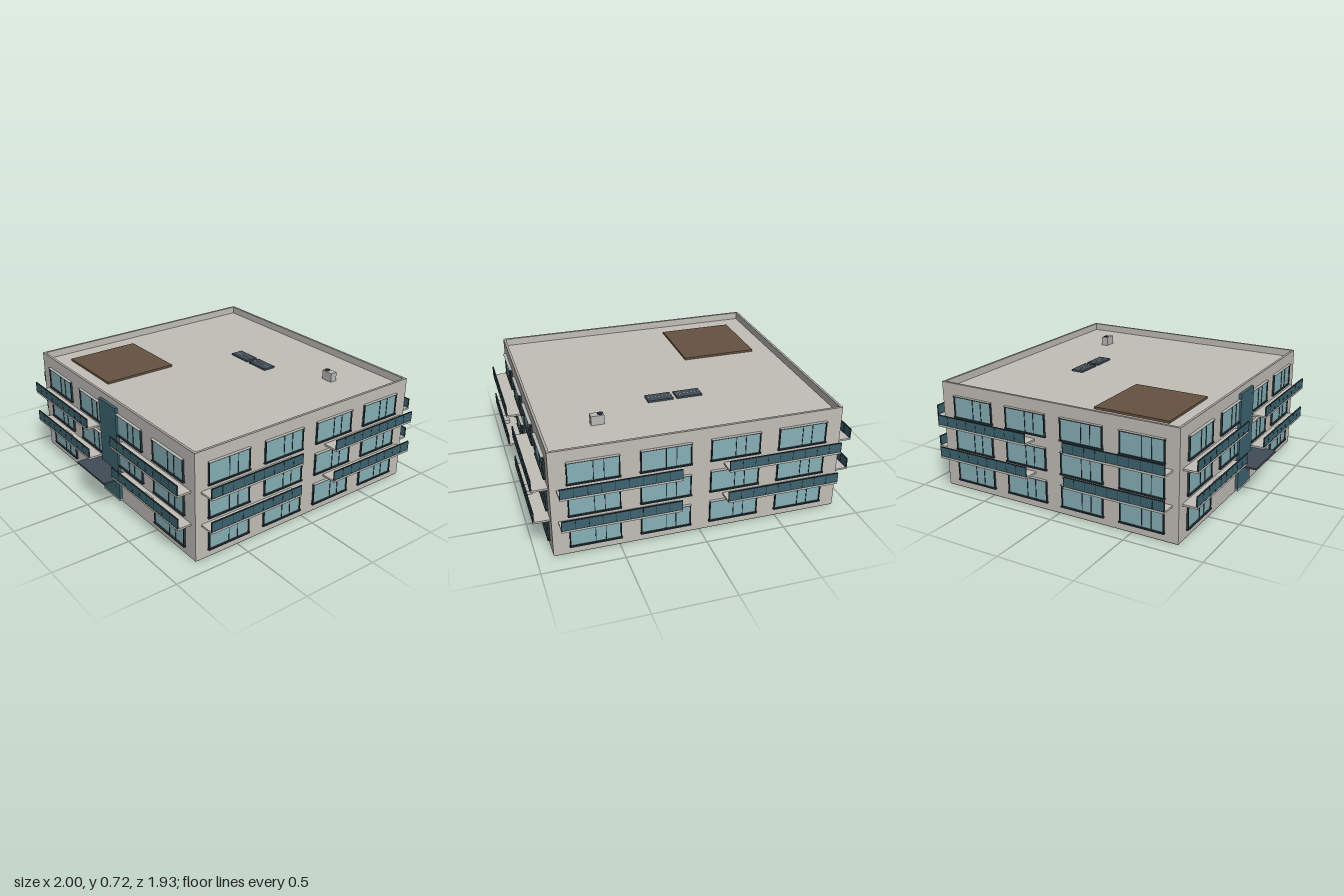
import * as THREE from 'three';

const mat = (name, color) => {
  const m = new THREE.MeshStandardMaterial({ color });
  m.name = name;
  return m;
};

export function createModel() {
  const wall = mat('wall plaster', 0xc2bfb8);
  const coping = mat('coping grey', 0xa9a7a1);
  const glass = mat('window glass', 0x86b0b7);
  const teal = mat('teal glass', 0x3d6470);
  const dark = mat('dark frame', 0x27343b);
  const slate = mat('slate', 0x414c57);
  const wood = mat('wood decking', 0x655240);
  const base = mat('foundation', 0x7a807e);
  const metal = mat('light metal', 0xb9b9b6);

  const model = new THREE.Group();
  model.name = 'apartmentBlock';

  // Box given by its limits on each axis
  function box(parent, name, material, x0, x1, y0, y1, z0, z1) {
    const mesh = new THREE.Mesh(new THREE.BoxGeometry(x1 - x0, y1 - y0, z1 - z0), material);
    mesh.position.set((x0 + x1) / 2, (y0 + y1) / 2, (z0 + z1) / 2);
    mesh.name = name;
    parent.add(mesh);
    return mesh;
  }

  const X = 0.9, ZF = 0.8, ZB = -0.865, ROOF = 0.652, TOP = 0.7, T = 0.016;

  // Main block and foundation
  box(model, 'foundation', base, -X + 0.002, X - 0.002, 0, 0.006, ZB + 0.002, ZF - 0.002);
  box(model, 'mainBlock', wall, -X, X, 0.006, ROOF, ZB, ZF);

  // Parapet with a thin coping
  const ring = [
    [-X, X, ZF - T, ZF], [-X, X, ZB, ZB + T],
    [-X, -X + T, ZB + T, ZF - T], [X - T, X, ZB + T, ZF - T],
  ];
  for (const [x0, x1, z0, z1] of ring) {
    box(model, 'parapet', wall, x0, x1, ROOF, TOP - 0.005, z0, z1);
    box(model, 'coping', coping, x0, x1, TOP - 0.005, TOP, z0, z1);
  }

  // Window in a facade frame: z = 0 is the wall face, +z points outward
  function addWindow(parent, u, y, w) {
    const g = new THREE.Group();
    g.name = 'window';
    g.position.set(u, y, 0);
    parent.add(g);
    const h = 0.142, f = 0.006, d = 0.012, a = w / 2;
    box(g, 'windowGlass', glass, -a + f, a - f, f, h - f, 0, 0.005);
    box(g, 'frameLeft', dark, -a, -a + f, 0, h, 0, d);
    box(g, 'frameRight', dark, a - f, a, 0, h, 0, d);
    box(g, 'frameTop', dark, -a + f, a - f, h - f, h, 0, d);
    box(g, 'sill', dark, -a - 0.004, a + 0.004, -0.003, f, 0, d + 0.003);
    box(g, 'lintel', metal, -a, a, h, h + 0.003, 0, 0.02);
    for (const m of [0, 0.062]) box(g, 'mullion', dark, m - 0.002, m + 0.002, f, h - f, 0, 0.008);
  }

  // Balcony: slab, glazed front, posts and handrail
  function addBalcony(parent, u0, u1, y, depth, unit) {
    const g = new THREE.Group();
    g.name = 'balcony';
    parent.add(g);
    box(g, 'slab', wall, u0, u1, y, y + 0.012, 0, depth);
    box(g, 'balustrade', teal, u0, u1, y + 0.012, y + 0.07, depth - 0.006, depth - 0.001);
    box(g, 'handrail', dark, u0, u1, y + 0.07, y + 0.076, depth - 0.008, depth);
    box(g, 'bottomRail', dark, u0, u1, y + 0.012, y + 0.015, depth - 0.007, depth);
    const n = 9;
    for (let i = 0; i <= n; i++) {
      const p = u0 + 0.0015 + (u1 - u0 - 0.003) * i / n;
      box(g, 'post', dark, p - 0.0015, p + 0.0015, y + 0.012, y + 0.072, depth - 0.008, depth);
    }
    // Small condenser on the lower balconies
    if (unit) {
      const c = (u0 + u1) / 2;
      box(g, 'condenser', metal, c - 0.04, c + 0.04, y + 0.012, y + 0.037, depth - 0.05, depth - 0.015);
    }
  }

  function addFacade(name, pos, turn, windows, width, spans, depth, skipInner, units) {
    const g = new THREE.Group();
    g.name = name;
    g.position.set(...pos);
    g.rotation.y = turn;
    model.add(g);
    [0.052, 0.264, 0.478].forEach((y, floor) => {
      windows.forEach((u, i) => {
        if (floor === 0 && skipInner && (i === 1 || i === 2)) return;
        addWindow(g, u, y, width);
      });
    });
    [0.225, 0.438].forEach((y, i) => {
      for (const [a, b] of spans) addBalcony(g, a, b, y, depth, units && i === 0);
    });
  }

  const mid = [-0.645, -0.215, 0.215, 0.645];
  const midSpans = [[-0.86, -0.143], [0.143, 0.86]];
  const side = [-0.5675, -0.1675, 0.23, 0.6275];
  const sideSpans = [[-0.76, -0.1], [0.165, 0.83]];
  addFacade('frontFacade', [0, 0, ZF], 0, mid, 0.31, midSpans, 0.092, true, true);
  addFacade('backFacade', [0, 0, ZB], Math.PI, mid, 0.31, midSpans, 0.1, false, false);
  addFacade('leftFacade', [X, 0, 0], Math.PI / 2, side, 0.29, sideSpans, 0.1, false, true);
  addFacade('rightFacade', [-X, 0, 0], -Math.PI / 2, side.map(u => -u), 0.29,
    sideSpans.map(([a, b]) => [-b, -a]), 0.1, false, true);

  // Glazed stair tower, entrance and canopy
  box(model, 'stairGlazing', teal, -0.1, 0.1, 0.02, 0.66, ZF, ZF + 0.018);
  box(model, 'doorStep', metal, -0.1, 0.1, 0.008, 0.02, ZF, ZF + 0.02);
  box(model, 'doorHandle', metal, 0.057, 0.061, 0.09, 0.125, ZF + 0.018, ZF + 0.024);
  box(model, 'canopy', slate, -0.17, 0.17, 0.212, 0.223, ZF, 0.962);

  // Roof terrace
  box(model, 'terrace', wood, -0.755, -0.255, ROOF, ROOF + 0.014, 0.165, 0.66);

  // Solar panels with thin dividing strips
  for (const [x0, x1, s] of [[-0.18, -0.014, -0.04], [0.01, 0.174, 0.035]]) {
    box(model, 'solarPanel', slate, x0, x1, ROOF, ROOF + 0.012, -0.375, -0.29);
    box(model, 'panelStrip', metal, x0, x1, ROOF + 0.012, ROOF + 0.013, -0.334, -0.331);
    box(model, 'panelStrip', metal, s - 0.001, s + 0.001, ROOF + 0.012, ROOF + 0.013, -0.375, -0.29);
  }

  // Rooftop ventilation unit with fan
  box(model, 'ventUnit', metal, 0.497, 0.578, ROOF, 0.712, -0.556, -0.51);
  const fan = new THREE.Mesh(new THREE.CylinderGeometry(0.016, 0.016, 0.006, 20), dark);
  fan.name = 'fan';
  fan.position.set(0.518, 0.714, -0.533);
  model.add(fan);

  return model;
}
